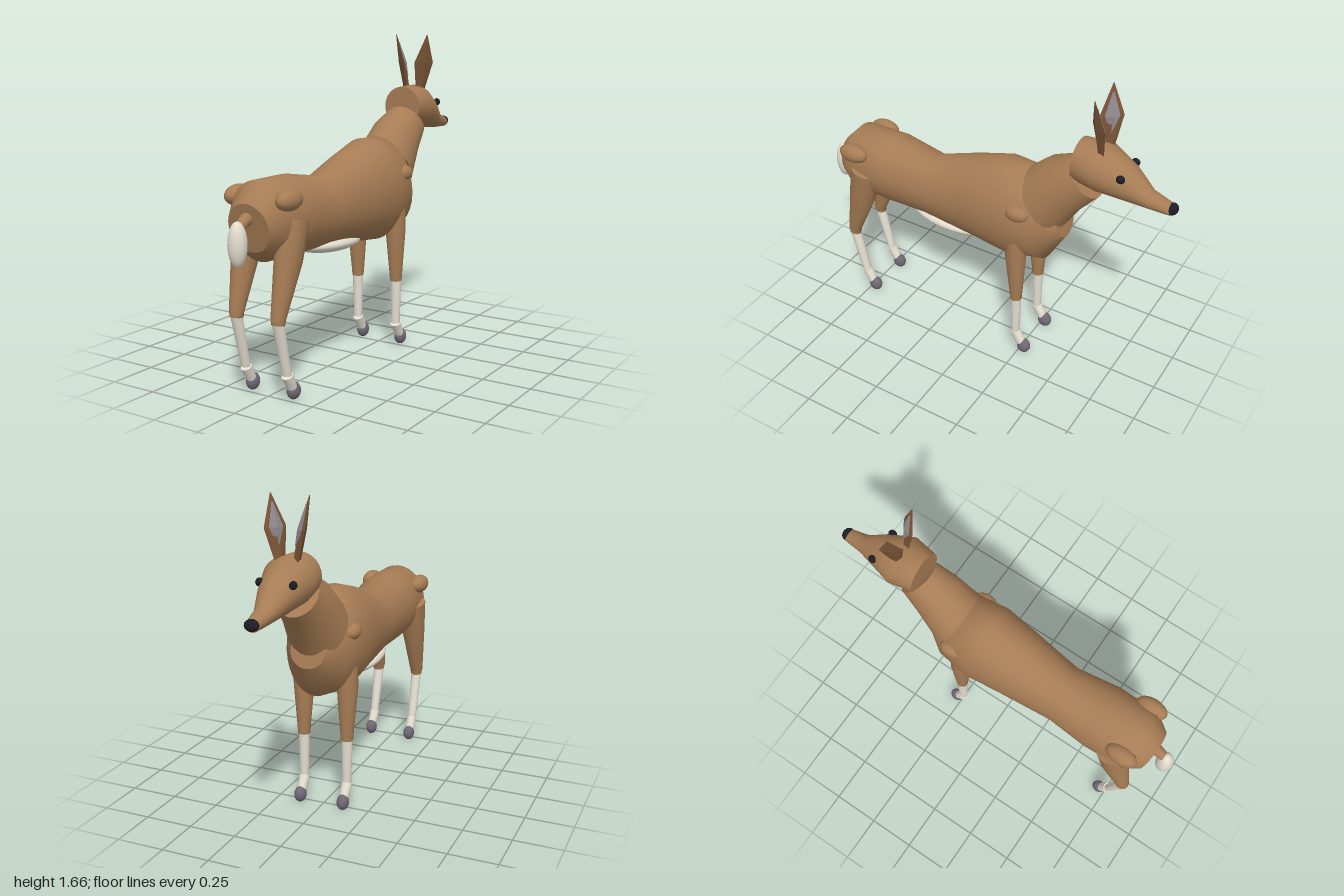
import * as THREE from 'three';

const paint = (name, color) => {
  const m = new THREE.MeshStandardMaterial({ color });
  m.name = name;
  return m;
};

// Ring in the side plane: two opposite edge points [z, y], half width across x, x offset
function ring([z1, y1], [z2, y2], halfWidth, x = 0) {
  return {
    c: new THREE.Vector3(x, (y1 + y2) / 2, (z1 + z2) / 2),
    u: new THREE.Vector3(0, (y1 - y2) / 2, (z1 - z2) / 2),
    v: new THREE.Vector3(halfWidth, 0, 0),
  };
}

// Skin through elliptical rings, with flat caps at both ends
function loft(rings, n = 24) {
  const pos = [], idx = [];
  const addRing = ({ c, u, v }) => {
    for (let j = 0; j < n; j++) {
      const a = (j / n) * Math.PI * 2;
      const p = c.clone().addScaledVector(u, Math.cos(a)).addScaledVector(v, Math.sin(a));
      pos.push(p.x, p.y, p.z);
    }
  };
  rings.forEach(addRing);
  for (let i = 0; i < rings.length - 1; i++) {
    for (let j = 0; j < n; j++) {
      const a = i * n + j, b = i * n + (j + 1) % n;
      idx.push(a, b, b + n, a, b + n, a + n);
    }
  }
  [rings[0], rings[rings.length - 1]].forEach((r, end) => {
    const s = pos.length / 3;
    addRing(r);
    for (let j = 1; j < n - 1; j++) {
      if (end) idx.push(s, s + j, s + j + 1);
      else idx.push(s, s + j + 1, s + j);
    }
  });
  const g = new THREE.BufferGeometry();
  g.setAttribute('position', new THREE.Float32BufferAttribute(pos, 3));
  g.setIndex(idx);
  g.computeVertexNormals();
  return g;
}

export function createModel() {
  const model = new THREE.Group();
  model.name = 'deer';
  const coat = paint('coat brown', 0xa67c54);
  const earBrown = paint('ear brown', 0x7a5436);
  const earInner = paint('inner ear grey', 0x8f878c);
  const cream = paint('cream white', 0xe4ded0);
  const hoofGrey = paint('hoof grey', 0x6e6873);
  const black = paint('nose black', 0x1c1c24);

  const add = (name, geo, mat) => {
    const m = new THREE.Mesh(geo, mat);
    m.name = name;
    model.add(m);
    return m;
  };
  const ball = (name, mat, [x, y, z], [rx, ry, rz]) => {
    const m = add(name, new THREE.SphereGeometry(1, 24, 16), mat);
    m.position.set(x, y, z);
    m.scale.set(rx, ry, rz);
    return m;
  };

  // Trunk, rump to chest
  add('body', loft([
    ring([0.90, 0.94], [0.85, 0.71], 0.115),
    ring([0.81, 1.035], [0.79, 0.655], 0.165),
    ring([0.577, 1.035], [0.575, 0.65], 0.173),
    ring([0.33, 0.995], [0.36, 0.645], 0.148),
    ring([0.105, 1.08], [0.05, 0.615], 0.175),
    ring([-0.09, 1.14], [-0.17, 0.59], 0.198),
    ring([-0.24, 1.135], [-0.355, 0.63], 0.175),
    ring([-0.41, 0.96], [-0.45, 0.80], 0.09),
  ], 32), coat);
  ball('belly', cream, [0, 0.65, 0.24], [0.115, 0.046, 0.24]).rotation.x = -0.05;

  // Neck and head
  add('neck', loft([
    ring([-0.20, 1.11], [-0.42, 0.84], 0.155),
    ring([-0.33, 1.225], [-0.515, 0.99], 0.132),
    ring([-0.455, 1.28], [-0.61, 1.10], 0.108),
  ]), coat);
  add('head', loft([
    ring([-0.49, 1.385], [-0.49, 1.17], 0.108),
    ring([-0.62, 1.39], [-0.62, 1.155], 0.132),
    ring([-0.76, 1.32], [-0.75, 1.14], 0.088),
    ring([-0.865, 1.222], [-0.86, 1.132], 0.05),
    ring([-0.975, 1.185], [-0.97, 1.13], 0.034),
  ]), coat);
  ball('nose', black, [0, 1.163, -0.972], [0.035, 0.028, 0.028]);

  // Tail
  add('tailStub', loft([
    ring([0.83, 0.845], [0.83, 0.91], 0.03),
    ring([0.90, 0.835], [0.91, 0.895], 0.03),
    ring([0.955, 0.80], [0.975, 0.84], 0.022),
  ], 12), coat);
  ball('tailTip', cream, [0, 0.765, 0.955], [0.045, 0.105, 0.045]);

  for (const s of [1, -1]) {
    const side = s > 0 ? 'left' : 'right';
    const x = 0.12 * s;
    ball(side + 'Eye', black, [0.083 * s, 1.29, -0.738], [0.018, 0.02, 0.022]);
    ball(side + 'Hip', coat, [0.145 * s, 0.95, 0.765], [0.048, 0.05, 0.085]);
    ball(side + 'Shoulder', coat, [0.155 * s, 0.95, -0.24], [0.042, 0.042, 0.064]);

    // Four-sided ear turned forwards and inwards, with a raised inner plate
    const turn = -0.61 * s;
    const earRing = (cx, y, z, width, thick, lift = 0) => {
      const u = new THREE.Vector3(Math.sin(turn), 0, Math.cos(turn));
      const v = new THREE.Vector3(Math.cos(turn), 0, -Math.sin(turn));
      const c = new THREE.Vector3(cx * s, y, z).addScaledVector(v, -s * lift);
      return { c, u: u.multiplyScalar(width), v: v.multiplyScalar(thick) };
    };
    const flat = (rings) => {
      const g = loft(rings, 4).toNonIndexed();
      g.computeVertexNormals();
      return g;
    };
    add(side + 'Ear', flat([
      earRing(0.042, 1.36, -0.615, 0.026, 0.016),
      earRing(0.068, 1.515, -0.607, 0.057, 0.02),
      earRing(0.097, 1.665, -0.59, 0.002, 0.002),
    ]), earBrown);
    add(side + 'InnerEar', flat([
      earRing(0.056, 1.44, -0.611, 0.006, 0.012, 0.01),
      earRing(0.068, 1.515, -0.607, 0.036, 0.014, 0.01),
      earRing(0.089, 1.625, -0.595, 0.004, 0.004, 0.005),
    ]), earInner);

    // Front leg
    add(side + 'FrontUpperLeg', loft([
      ring([-0.265, 0.86], [-0.175, 0.86], 0.05, x),
      ring([-0.275, 0.65], [-0.165, 0.65], 0.054, x),
      ring([-0.26, 0.40], [-0.193, 0.40], 0.034, x),
      ring([-0.258, 0.365], [-0.195, 0.365], 0.031, x),
    ], 16), coat);
    add(side + 'FrontLowerLeg', loft([
      ring([-0.256, 0.38], [-0.198, 0.38], 0.029, x),
      ring([-0.25, 0.13], [-0.206, 0.13], 0.023, x),
    ], 16), cream);
    add(side + 'FrontPastern', loft([
      ring([-0.252, 0.14], [-0.204, 0.115], 0.028, x),
      ring([-0.295, 0.06], [-0.25, 0.04], 0.024, x),
    ], 16), cream);
    ball(side + 'FrontHoof', hoofGrey, [x, 0.042, -0.28], [0.031, 0.042, 0.038]);

    // Hind leg
    add(side + 'HindUpperLeg', loft([
      ring([0.635, 0.835], [0.785, 0.87], 0.07, x * 1.08),
      ring([0.675, 0.65], [0.82, 0.70], 0.062, x * 1.03),
      ring([0.79, 0.405], [0.86, 0.415], 0.036, x),
      ring([0.792, 0.38], [0.858, 0.39], 0.031, x),
    ], 16), coat);
    add(side + 'HindLowerLeg', loft([
      ring([0.796, 0.385], [0.856, 0.395], 0.029, x),
      ring([0.742, 0.13], [0.785, 0.13], 0.023, x),
    ], 16), cream);
    add(side + 'HindPastern', loft([
      ring([0.737, 0.14], [0.786, 0.115], 0.028, x),
      ring([0.697, 0.06], [0.742, 0.04], 0.024, x),
    ], 16), cream);
    ball(side + 'HindHoof', hoofGrey, [x, 0.042, 0.712], [0.031, 0.042, 0.038]);
  }
  return model;
}
